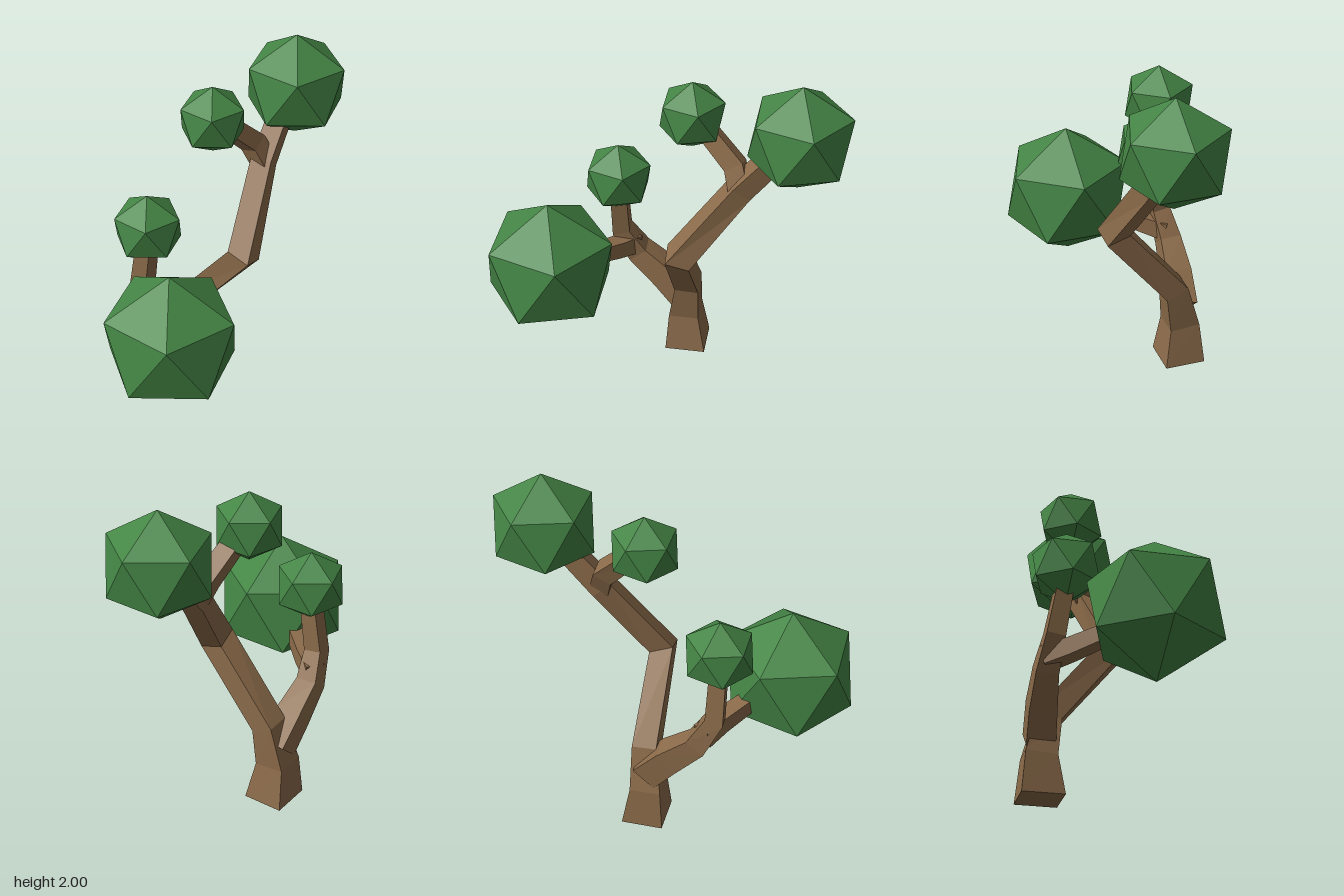
import * as THREE from 'three';

const bark = new THREE.MeshStandardMaterial({ color: 0x8b6b4a, flatShading: true });
const leaf = new THREE.MeshStandardMaterial({ color: 0x448545, flatShading: true });

// Square-section limb through points [x, y, z, halfWidth]; side sets the first section's turn
function limb(name, points, side) {
  const centres = points.map(p => new THREE.Vector3(p[0], p[1], p[2]));
  const last = centres.length - 1;
  const positions = [];
  const index = [];
  const u = side.clone();
  centres.forEach((c, i) => {
    const before = c.clone().sub(centres[Math.max(i - 1, 0)]).normalize();
    const after = centres[Math.min(i + 1, last)].clone().sub(c).normalize();
    const t = before.add(after).normalize();
    if (i === 0 && points[0][1] === 0) t.set(0, 1, 0); // level foot on the ground
    u.addScaledVector(t, -u.dot(t)).normalize();
    const v = t.clone().cross(u);
    for (const [a, b] of [[1, -1], [1, 1], [-1, 1], [-1, -1]]) {
      const h = points[i][3];
      positions.push(...c.clone().addScaledVector(u, a * h).addScaledVector(v, b * h).toArray());
    }
  });
  for (let i = 0; i < last; i++) {
    for (let k = 0; k < 4; k++) {
      const a = i * 4 + k, b = i * 4 + (k + 1) % 4;
      index.push(a, b, b + 4, a, b + 4, a + 4);
    }
  }
  const e = last * 4;
  index.push(0, 3, 2, 0, 2, 1, e, e + 1, e + 2, e, e + 2, e + 3);
  const geometry = new THREE.BufferGeometry();
  geometry.setAttribute('position', new THREE.Float32BufferAttribute(positions, 3));
  geometry.setIndex(index);
  const flat = geometry.toNonIndexed();
  flat.computeVertexNormals();
  const mesh = new THREE.Mesh(flat, bark);
  mesh.name = name;
  return mesh;
}

// Icosahedron standing on one corner
function foliage(name, x, y, z, radius) {
  const geometry = new THREE.IcosahedronGeometry(radius, 0);
  geometry.rotateZ(-Math.atan(2 / (1 + Math.sqrt(5))));
  const mesh = new THREE.Mesh(geometry, leaf);
  mesh.position.set(x, y, z);
  mesh.name = name;
  return mesh;
}

export function createModel() {
  const group = new THREE.Group();
  group.name = 'tree';
  const Y = new THREE.Vector3(0, 1, 0);
  const Z = new THREE.Vector3(0, 0, 1);

  // Trunk, leaning forward and then out to the left
  group.add(limb('trunk', [
    [0.08, 0, -0.33, 0.118], [0.065, 0.23, -0.34, 0.088], [0.085, 0.47, -0.29, 0.07],
    [0.08, 0.91, 0.07, 0.07], [0.40, 1.34, -0.03, 0.06], [0.62, 1.60, -0.05, 0.055],
  ], Z));
  group.add(limb('upperBranch', [
    [0.40, 1.34, -0.03, 0.055], [0.365, 1.46, -0.08, 0.055], [0.17, 1.66, -0.15, 0.048],
  ], Z));

  // Lower bough on the right, splitting into an upright and a forward branch
  group.add(limb('lowerBough', [
    [0.07, 0.33, -0.34, 0.08], [-0.06, 0.475, -0.355, 0.076], [-0.22, 0.615, -0.365, 0.062],
    [-0.315, 0.78, -0.34, 0.052], [-0.32, 1.08, -0.29, 0.046],
  ], Z));
  group.add(limb('forwardBranch', [
    [-0.25, 0.67, -0.37, 0.055], [-0.33, 0.70, -0.25, 0.05], [-0.5, 0.76, -0.04, 0.042],
  ], Y));

  // Leaf clumps
  group.add(
    foliage('largeLowerFoliage', -0.64, 0.822, 0.125, 0.4),
    foliage('smallLowerFoliage', -0.32, 1.18, -0.283, 0.207),
    foliage('largeUpperFoliage', 0.71, 1.69, -0.04, 0.31),
    foliage('smallUpperFoliage', 0.115, 1.70, -0.17, 0.2),
  );
  return group;
}
